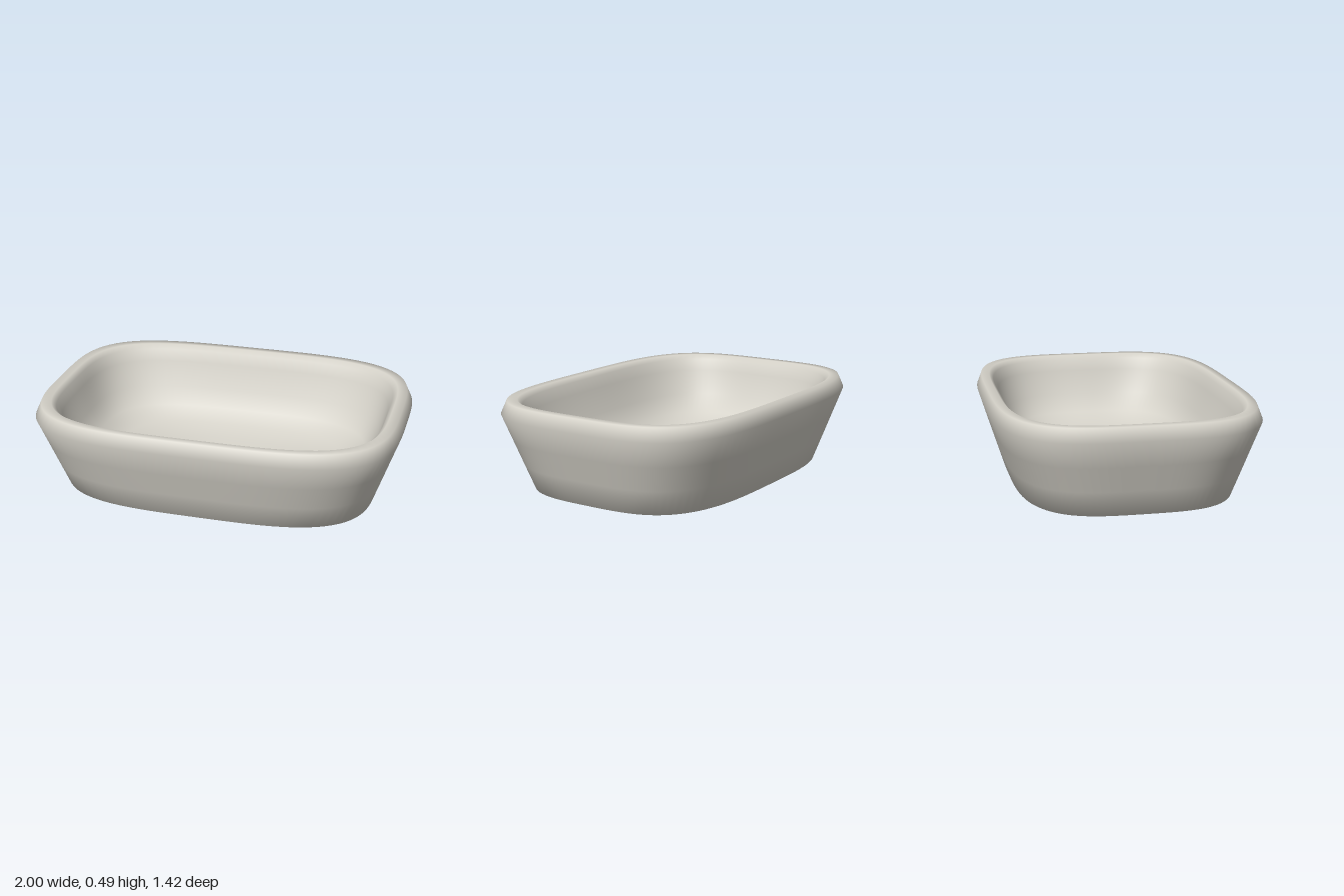
import * as THREE from 'three';

const SEGMENTS = 128;

// Closed wall section: [half width x, half depth z, height, corner squareness]
const RINGS = [
  [0.10, 0.095, 0.004, 4.5],  // drain hole, underside
  [0.28, 0.22, 0.0, 3.2],
  [0.80, 0.53, 0.004, 3.3],
  [0.86, 0.58, 0.01, 3.4],    // foot edge
  [0.907, 0.624, 0.147, 3.5],
  [0.953, 0.667, 0.283, 3.6],
  [1.0, 0.71, 0.42, 3.7],     // widest line
  [0.97, 0.685, 0.49, 3.7],   // rim
  [0.92, 0.64, 0.49, 3.7],
  [0.895, 0.617, 0.465, 3.7],
  [0.875, 0.595, 0.40, 3.6],
  [0.83, 0.55, 0.26, 3.5],    // bowl
  [0.76, 0.49, 0.16, 3.4],
  [0.64, 0.40, 0.10, 3.2],
  [0.42, 0.28, 0.07, 3.0],
  [0.20, 0.18, 0.06, 3.0],
  [0.11, 0.105, 0.045, 4.0],
  [0.10, 0.095, 0.03, 4.5],   // drain hole, bowl side
];

// Loft rounded-rectangle rings into one smooth closed surface
function loftRings(rings) {
  const positions = [];
  const indices = [];
  for (const [a, b, y, n] of rings) {
    for (let i = 0; i < SEGMENTS; i++) {
      const t = (i / SEGMENTS) * Math.PI * 2;
      const c = Math.cos(t);
      const s = Math.sin(t);
      const r = Math.pow(Math.abs(c) ** n + Math.abs(s) ** n, -1 / n);
      positions.push(a * r * c, y, b * r * s);
    }
  }
  for (let j = 0; j < rings.length; j++) {
    const low = j * SEGMENTS;
    const high = ((j + 1) % rings.length) * SEGMENTS;
    for (let i = 0; i < SEGMENTS; i++) {
      const k = (i + 1) % SEGMENTS;
      indices.push(low + i, high + i, low + k, high + i, high + k, low + k);
    }
  }
  const geometry = new THREE.BufferGeometry();
  geometry.setAttribute('position', new THREE.Float32BufferAttribute(positions, 3));
  geometry.setIndex(indices);
  geometry.computeVertexNormals();
  return geometry;
}

export function createModel() {
  const ceramic = new THREE.MeshStandardMaterial({ color: 0xd4d1c8 });
  ceramic.name = 'warm grey ceramic';
  const metal = new THREE.MeshStandardMaterial({ color: 0x9aa0a6 });
  metal.name = 'drain metal';

  const group = new THREE.Group();
  group.name = 'washbasin';

  const basin = new THREE.Mesh(loftRings(RINGS), ceramic);
  basin.name = 'basin';
  group.add(basin);

  // Round plug sitting in the square drain hole
  const drain = new THREE.Mesh(new THREE.CylinderGeometry(0.093, 0.093, 0.008, 48), metal);
  drain.name = 'drainPlug';
  drain.position.y = 0.025;
  group.add(drain);

  return group;
}
